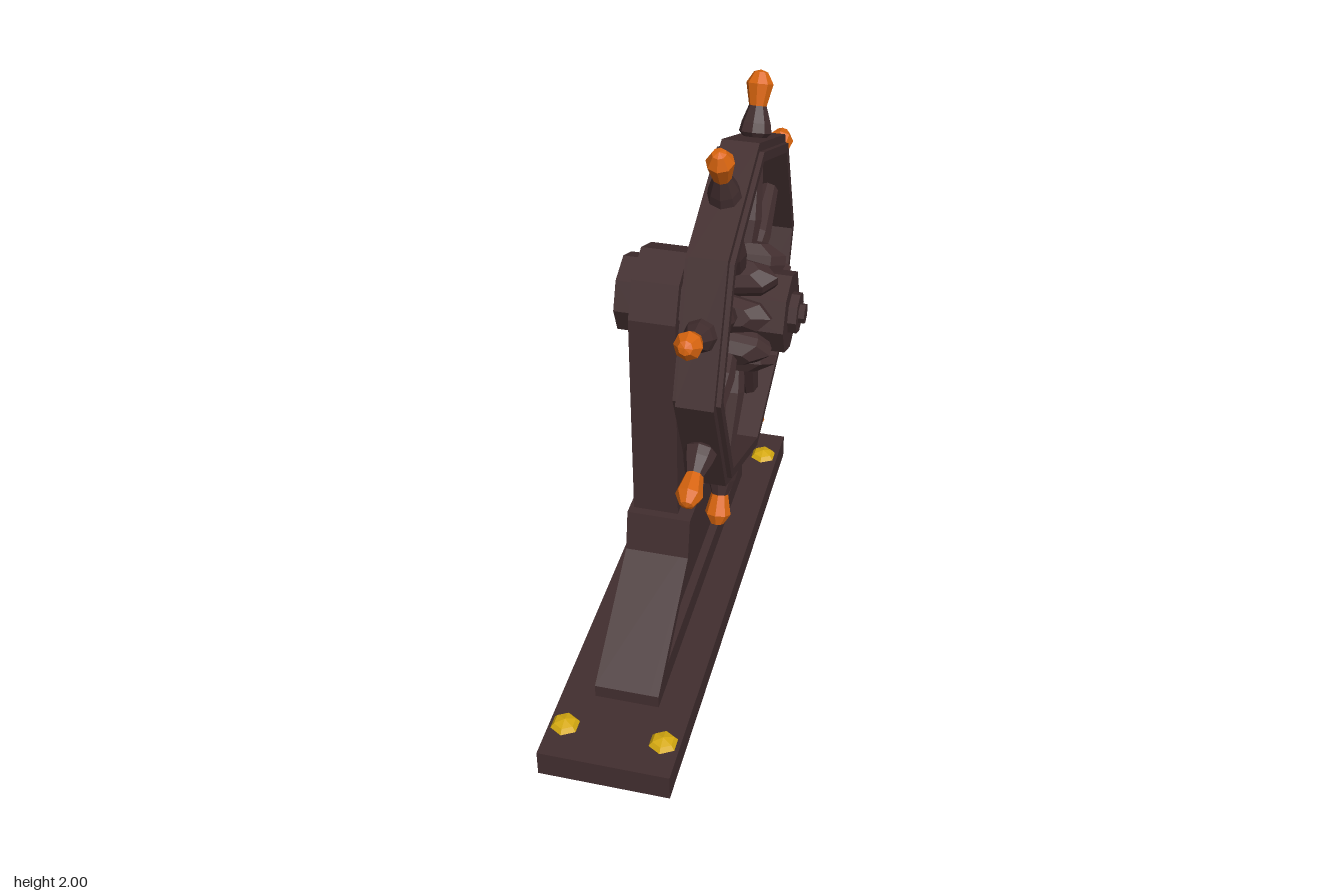
import * as THREE from 'three';

const AXLE_Y = 1.31, WHEEL_X = 0.113;
const mat = (name, color) => {
  const m = new THREE.MeshStandardMaterial({ color });
  m.name = name;
  return m;
};
const v2 = (pts) => pts.map(([x, y]) => new THREE.Vector2(x, y));

// Gives every face its own flat normals
function faceted(geo) {
  const g = geo.index ? geo.toNonIndexed() : geo;
  g.computeVertexNormals();
  return g;
}

const lathe = (pts, sides) => new THREE.LatheGeometry(v2(pts), sides);

// Extrudes a side outline of [z, y] points from x0 to x1
function sidePlate(pts, x0, x1, hole) {
  const shape = new THREE.Shape(v2(pts));
  if (hole) shape.holes.push(new THREE.Path(v2(hole)));
  const g = new THREE.ExtrudeGeometry(shape, { depth: x1 - x0, bevelEnabled: false });
  return g.rotateY(Math.PI / 2).translate(x0, 0, 0);
}

// Completes a symmetric outline from its right half
const mirrored = (half) => [
  ...half,
  ...half.filter(([z]) => z > 0).reverse().map(([z, y]) => [-z, y]),
];

export function createModel() {
  const model = new THREE.Group();
  const wood = mat('darkWood', 0x422e2f);
  const orange = mat('orangeGrip', 0xd9650f);
  const gold = mat('goldBolt', 0xd6aa10);

  const add = (parent, name, geo, material = wood) => {
    const mesh = new THREE.Mesh(faceted(geo), material);
    mesh.name = name;
    parent.add(mesh);
    return mesh;
  };

  // Base plate and four domed bolts
  add(model, 'basePlate', new THREE.BoxGeometry(0.445, 0.095, 1.84).translate(-0.11, 0.0475, 0));
  for (const x of [-0.28, 0.055]) {
    for (const z of [-0.78, 0.78]) {
      const bolt = lathe([[0.05, 0], [0.037, 0.016], [0, 0.026]], 6);
      add(model, 'bolt', bolt.translate(x, 0.095, z), gold);
    }
  }

  // Flared foot with a recessed panel on the wheel side
  const foot = mirrored([[0.635, 0.095], [0.635, 0.142], [0.23, 0.405], [0.2, 0.545]]);
  const panel = mirrored([[0.51, 0.18], [0.215, 0.37]]);
  add(model, 'foot', sidePlate(foot, -0.22, -0.03));
  add(model, 'footFrame', sidePlate(foot, -0.03, 0, panel));

  // Post with a faceted round top
  const post = mirrored([[0.17, 0.5], [0.17, AXLE_Y], [0.12, 1.43], [0, 1.48]]);
  add(model, 'post', sidePlate(post, -0.205, -0.05));

  // Axle parts: [name, radius, start x, end x]
  const drums = [
    ['rearCap', 0.13, -0.265, -0.2],
    ['hub', 0.133, -0.06, 0.285],
    ['hubCap', 0.067, 0.28, 0.313],
    ['axleEnd', 0.032, 0.31, 0.332],
  ];
  for (const [name, r, x0, x1] of drums) {
    const g = new THREE.CylinderGeometry(r, r, x1 - x0, 8).rotateZ(-Math.PI / 2);
    add(model, name, g.translate((x0 + x1) / 2, AXLE_Y, 0));
  }

  const wheel = new THREE.Group();
  wheel.name = 'wheel';
  wheel.position.set(WHEEL_X, AXLE_Y, 0);
  model.add(wheel);

  // Eight-sided rim with a raised centre band
  const rim = [
    [0.52, -0.073], [0.552, -0.073], [0.552, -0.058], [0.58, -0.058],
    [0.58, 0.058], [0.552, 0.058], [0.552, 0.073], [0.52, 0.073], [0.52, -0.073],
  ];
  add(wheel, 'rim', lathe(rim, 8).rotateZ(-Math.PI / 2));

  // Spokes with wide sockets at the hub and grips outside the rim
  const socket = [[0, 0.09], [0.05, 0.1], [0.06, 0.145], [0.06, 0.175], [0.035, 0.207], [0, 0.207]];
  const shaft = [
    [0.038, 0.19], [0.048, 0.28], [0.032, 0.5], [0.032, 0.53],
    [0.052, 0.55], [0.046, 0.58], [0.027, 0.635],
  ];
  const grip = [[0, 0.63], [0.028, 0.632], [0.043, 0.7], [0.022, 0.735], [0, 0.742]];
  for (let i = 0; i < 8; i++) {
    const spoke = new THREE.Group();
    spoke.name = 'spoke';
    spoke.rotation.x = (i + 0.5) * Math.PI / 4;
    add(spoke, 'spokeSocket', lathe(socket, 8).scale(2.3, 1, 1));
    add(spoke, 'spokeShaft', lathe(shaft, 8));
    add(spoke, 'spokeGrip', lathe(grip, 8), orange);
    wheel.add(spoke);
  }
  return model;
}
